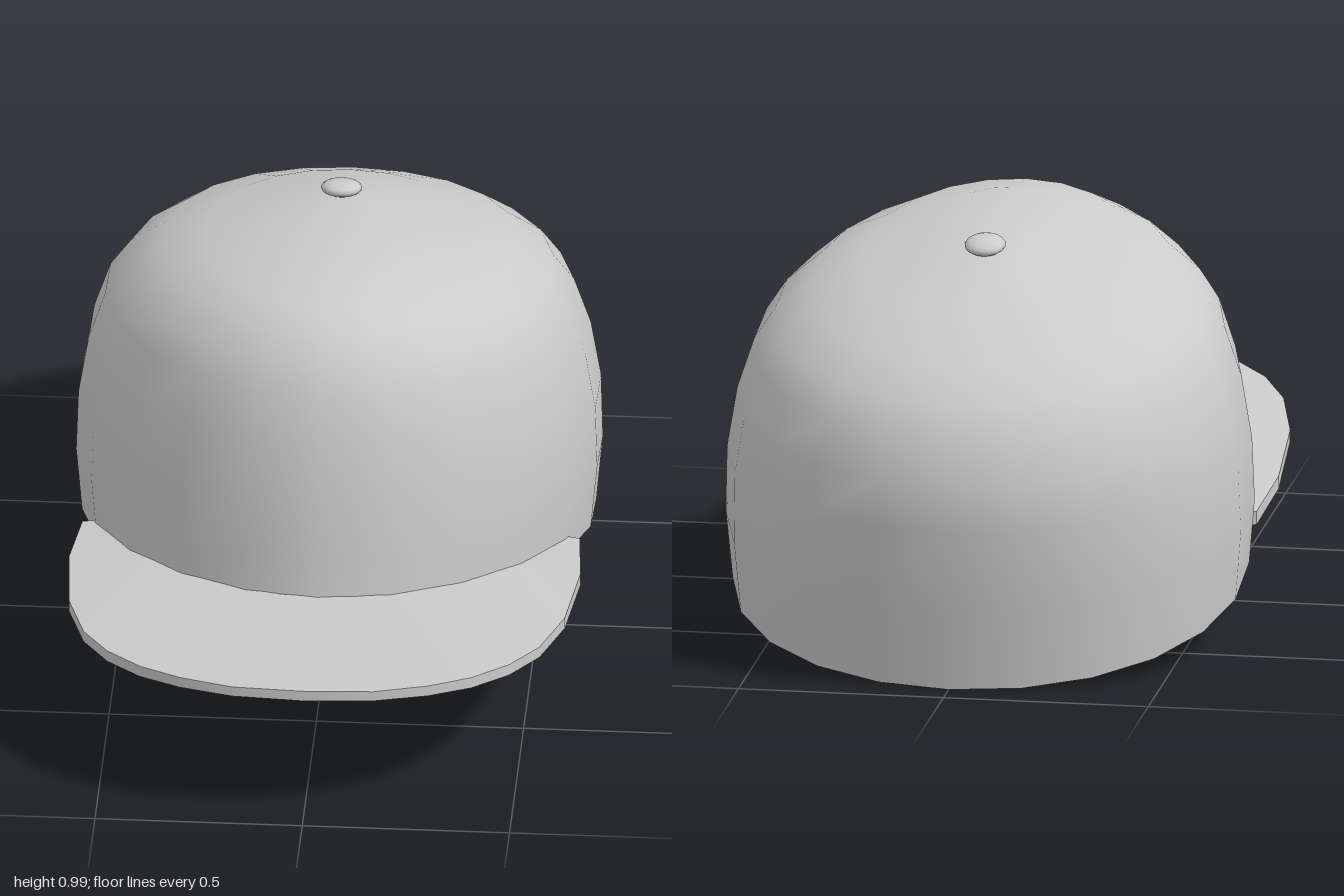
import * as THREE from 'three';
import { mergeVertices, toCreasedNormals } from 'three/addons/utils/BufferGeometryUtils.js';

// Skin a list of closed loops (each an array of [x, y, z]) with quads
function loft(loops) {
  const n = loops[0].length, index = [];
  for (let r = 0; r < loops.length - 1; r++) {
    for (let c = 0; c < n; c++) {
      const d = (c + 1) % n;
      const p = r * n + c, q = r * n + d, s = p + n, t = q + n;
      index.push(p, q, t, p, t, s);
    }
  }
  const geo = new THREE.BufferGeometry();
  geo.setAttribute('position', new THREE.Float32BufferAttribute(loops.flat(2), 3));
  geo.setIndex(index);
  const merged = mergeVertices(geo);
  merged.computeVertexNormals();
  return merged;
}

// Crown levels, rim to top: front z, y | back z, y | side x, y, z
const LEVELS = [
  [0.47, 0.275, -0.925, 0.0, 0.62, 0.135, -0.31],
  [0.452, 0.42, -0.965, 0.2, 0.635, 0.3, -0.32],
  [0.43, 0.56, -0.997, 0.41, 0.63, 0.46, -0.33],
  [0.40, 0.70, -0.99, 0.52, 0.605, 0.61, -0.33],
  [0.36, 0.81, -0.96, 0.62, 0.565, 0.73, -0.33],
  [0.32, 0.88, -0.91, 0.7, 0.515, 0.805, -0.32],
  [0.27, 0.935, -0.82, 0.775, 0.43, 0.875, -0.3],
  [0.20, 0.975, -0.68, 0.85, 0.32, 0.92, -0.26],
  [0.05, 0.994, -0.56, 0.9, 0.19, 0.95, -0.26],
  [-0.12, 0.987, -0.44, 0.942, 0.09, 0.966, -0.28],
  [-0.3, 0.968, -0.3, 0.968, 0, 0.968, -0.3],
];

// Point on a level at angle a from the front, through its front, side and back
function crownPoint([fz, fy, bz, by, w, sy, sz], a) {
  const c = Math.cos(a);
  const through = (f, s, b) => s + (f - b) / 2 * c + ((f + b) / 2 - s) * c * c;
  return [w * Math.sin(a), through(fy, sy, by), through(fz, sz, bz)];
}

// Outer edge of the brim from front centre to one end: x, z
const BRIM_EDGE = [
  [0, 1], [0.17, 0.985], [0.3, 0.94], [0.4, 0.88], [0.485, 0.79],
  [0.55, 0.67], [0.598, 0.48], [0.617, 0.2], [0.6, -0.02],
];

function brimGeometry() {
  const bottom = z => 0.2 + 0.148 * z;
  const top = (x, z) => 0.235 + 0.14 * z + 0.045 * (1 - z) * Math.max(0, 1 - (x / 0.56) ** 2);
  const last = BRIM_EDGE.length - 1, loops = [];
  for (let i = -last; i <= last; i++) {
    const [ex, oz] = BRIM_EDGE[Math.abs(i)];
    const ox = Math.sign(i) * ex;
    const p = crownPoint(LEVELS[0], i / last * 1.16);
    const ix = p[0] * 0.985, iz = p[2] - 0.01;
    loops.push([
      [ix, bottom(iz), iz], [ix, top(ix, iz), iz],
      [ox, top(ox, oz) - (i === 0 ? 0 : 0.002), oz], [ox, bottom(oz), oz],
    ]);
  }
  // Close both ends on their middle point
  const cap = loop => {
    const mid = [0, 1, 2].map(k => loop.reduce((s, p) => s + p[k], 0) / 4);
    return loop.map(() => mid);
  };
  const all = [cap(loops[0]), ...loops, cap(loops[loops.length - 1])];
  return toCreasedNormals(loft(all), 0.8);
}

export function createModel() {
  const group = new THREE.Group();
  group.name = 'cap';
  const grey = new THREE.MeshStandardMaterial({ color: 0xcccccc });
  const shell = new THREE.MeshStandardMaterial({ color: 0xcccccc, side: THREE.DoubleSide });

  const add = (name, geometry, material) => {
    const mesh = new THREE.Mesh(geometry, material);
    mesh.name = name;
    group.add(mesh);
    return mesh;
  };

  // Crown: open shell with a tilted rim
  const sides = 22;
  add('crown', loft(LEVELS.map(level =>
    Array.from({ length: sides }, (_, i) => crownPoint(level, i / sides * Math.PI * 2)))), shell);

  // Brim: flat plate fitted round the front of the rim
  add('brim', brimGeometry(), grey);

  // Button on top
  const button = add('topButton', new THREE.SphereGeometry(0.05, 16, 10), grey);
  button.scale.y = 0.4;
  button.position.set(0, 0.968, -0.392);
  button.rotation.x = -0.22;

  return group;
}
